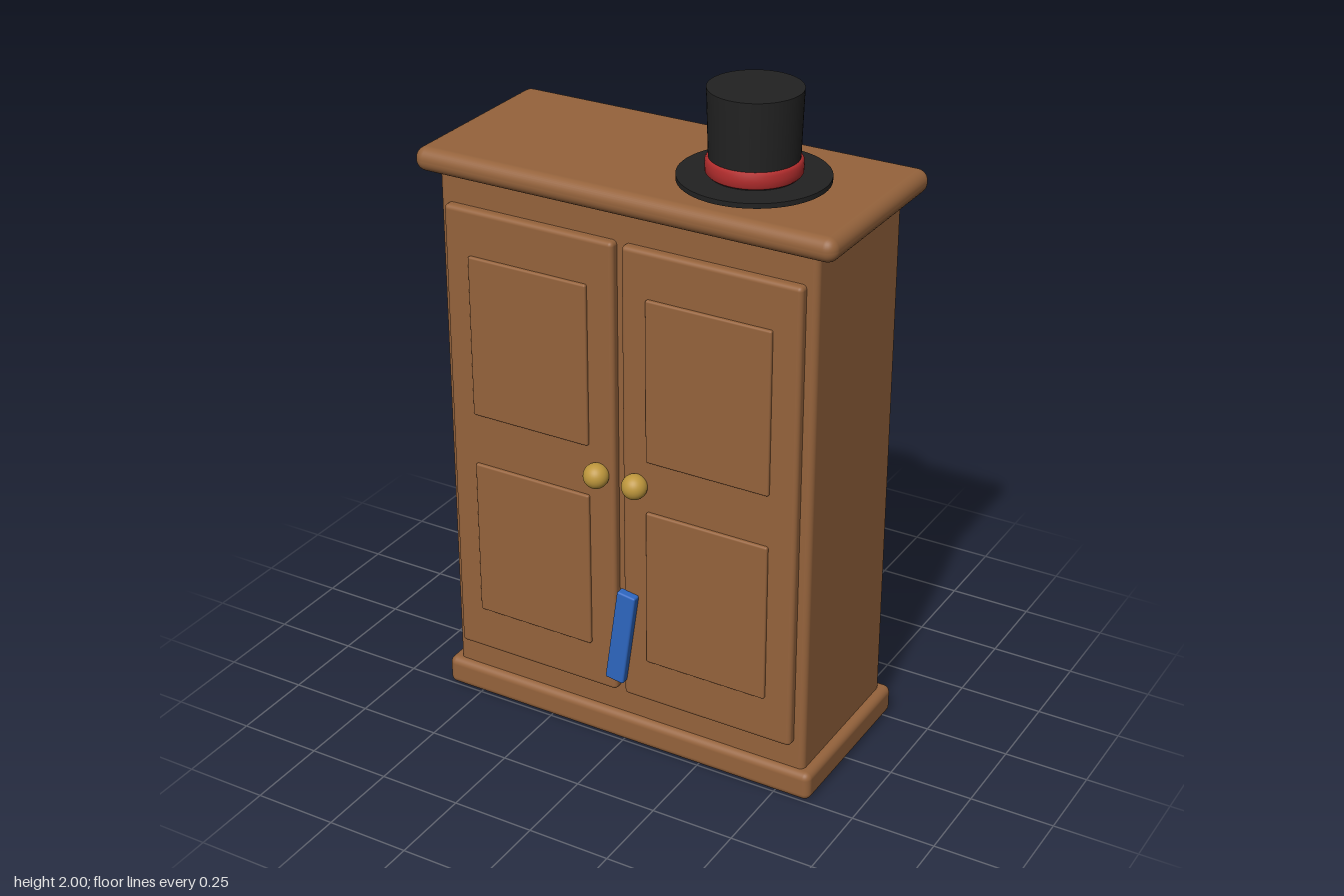
import * as THREE from 'three';
import { RoundedBoxGeometry } from 'three/addons/geometries/RoundedBoxGeometry.js';

function material(name, color) {
  const m = new THREE.MeshStandardMaterial({ color });
  m.name = name;
  return m;
}

export function createModel() {
  const wood = material('wood', 0x95633c);
  const gold = material('gold', 0xbd963c);
  const blue = material('blue', 0x2d66c0);
  const black = material('black felt', 0x222222);
  const red = material('red ribbon', 0xb02c2c);

  const model = new THREE.Group();
  model.name = 'wardrobe';

  function add(parent, name, geometry, mat, x = 0, y = 0, z = 0) {
    const mesh = new THREE.Mesh(geometry, mat);
    mesh.name = name;
    mesh.position.set(x, y, z);
    parent.add(mesh);
    return mesh;
  }

  // Rounded box given by its extents along each axis
  function slab(parent, name, mat, [x0, x1], [y0, y1], [z0, z1], radius) {
    const geometry = new RoundedBoxGeometry(x1 - x0, y1 - y0, z1 - z0, 4, radius);
    return add(parent, name, geometry, mat, (x0 + x1) / 2, (y0 + y1) / 2, (z0 + z1) / 2);
  }

  // Carcass
  slab(model, 'body', wood, [-0.584, 0.582], [0.03, 1.69], [-0.263, 0.23], 0.018);
  slab(model, 'plinth', wood, [-0.614, 0.611], [0, 0.09], [-0.288, 0.252], 0.022);
  slab(model, 'cornice', wood, [-0.645, 0.642], [1.668, 1.738], [-0.312, 0.27], 0.033);

  // Two doors, each with two raised panels and a knob
  for (const side of [-1, 1]) {
    const door = new THREE.Group();
    door.name = side > 0 ? 'leftDoor' : 'rightDoor';
    door.position.x = side * 0.283 - 0.003;
    model.add(door);
    slab(door, 'doorLeaf', wood, [-0.27, 0.27], [0.172, 1.586], [0.215, 0.257], 0.013);
    for (const height of [[0.312, 0.802], [0.96, 1.45]]) {
      slab(door, 'doorPanel', wood, [-0.19, 0.19], height, [0.24, 0.267], 0.006);
    }
    add(door, 'knob', new THREE.SphereGeometry(0.037, 32, 20), gold, -side * 0.221, 0.88, 0.273);
  }

  // Blue strip leaning across the gap between the doors
  const strip = add(model, 'strip', new RoundedBoxGeometry(0.06, 0.303, 0.03, 3, 0.006), blue, 0.011, 0.373, 0.266);
  strip.rotation.z = -0.14;

  // Top hat
  const hat = new THREE.Group();
  hat.name = 'topHat';
  hat.position.set(0.275, 1.738, 0.009);
  model.add(hat);
  add(hat, 'brim', new THREE.CylinderGeometry(0.208, 0.208, 0.014, 64), black, 0, 0.014);
  add(hat, 'brimSeat', new THREE.CylinderGeometry(0.12, 0.12, 0.012, 48), black, 0, 0.004);
  add(hat, 'crown', new THREE.CylinderGeometry(0.129, 0.121, 0.246, 64), black, 0, 0.139);

  // Ribbon with softly rounded edges
  const ribbon = [[0.115, 0.023], [0.126, 0.025], [0.131, 0.031], [0.132, 0.047], [0.131, 0.063], [0.126, 0.071], [0.115, 0.073]]
    .map(([r, y]) => new THREE.Vector2(r, y));
  add(hat, 'hatBand', new THREE.LatheGeometry(ribbon, 64), red);

  return model;
}
